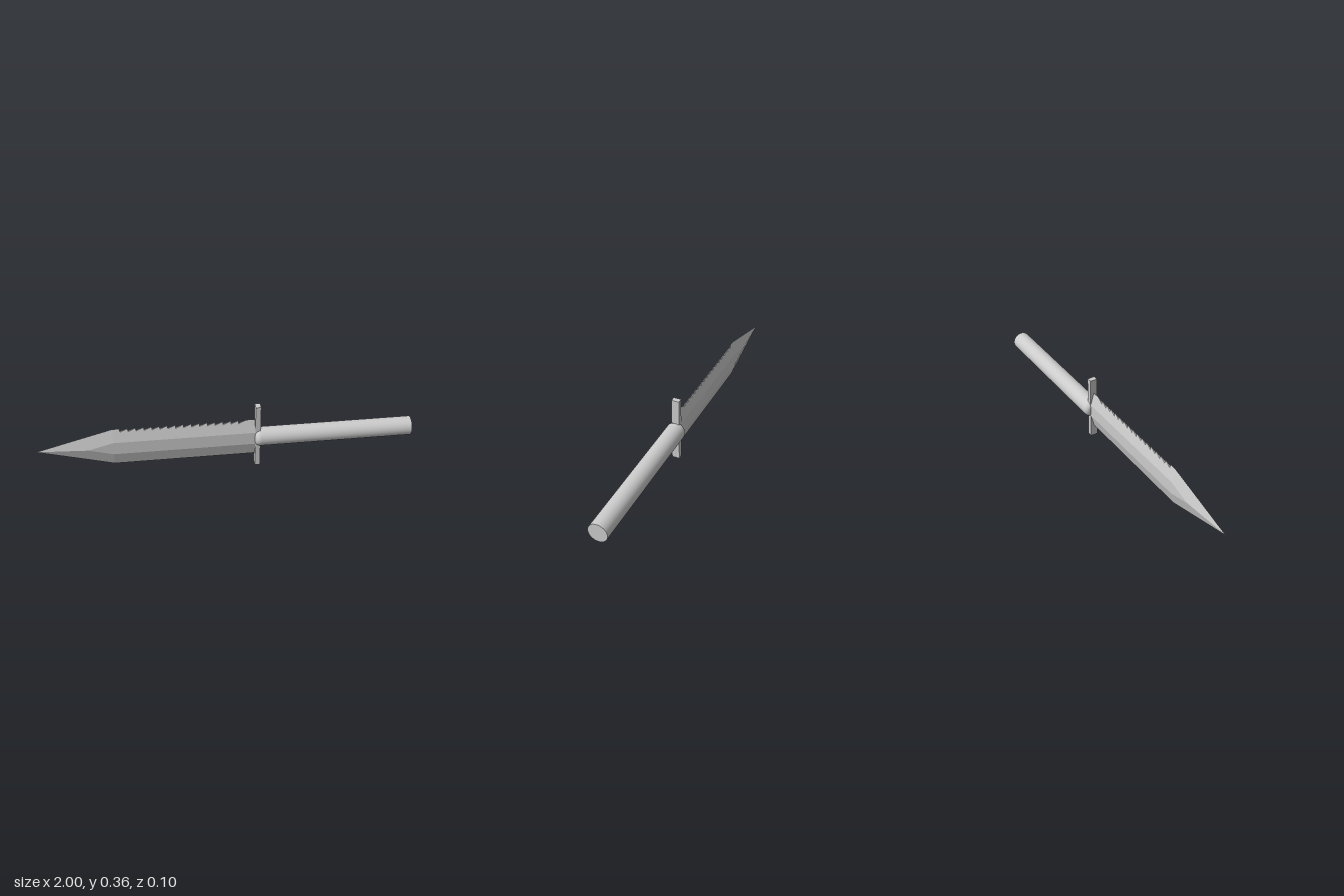
import * as THREE from 'three';

const MID = 0.172, TOP = 0.28, BOTTOM = 0.065, THICK = 0.02, FLAT = 0.035;

// Blade skin lofted through seven-point sections along x
function bladeGeometry() {
  const sections = [];
  // lo/top: cutting edges, flat: half height of the flat, t: half thickness
  const add = (x, lo, top, flat, t) => {
    const edge = t * Math.max(0, (TOP - top) / (TOP - MID - flat)); // bevel thickness at a notch
    const z = x < -0.6 ? 0 : edge;
    sections.push([
      [x, lo, 0], [x, MID - flat, t], [x, MID + flat, t], [x, top, z],
      [x, top, -z], [x, MID + flat, -t], [x, MID - flat, -t],
    ]);
  };

  // Point
  add(-1, MID, MID, 0, 0);
  add(-0.73, 0.1, 0.245, 0, THICK);
  add(-0.6, BOTTOM, TOP, FLAT, THICK);

  // Saw teeth: a vertical drop, then a slope up towards the guard
  const teeth = 16, start = -0.56, pitch = 0.0415;
  for (let i = 0; i < teeth; i++) {
    const x = start + i * pitch;
    add(x, BOTTOM, TOP, FLAT, THICK);
    add(x, BOTTOM, 0.262, FLAT, THICK);
  }
  add(start + teeth * pitch, BOTTOM, TOP, FLAT, THICK);
  add(0.16, BOTTOM, TOP, FLAT, THICK);

  const pos = [];
  for (let i = 0; i < sections.length - 1; i++) {
    const a = sections[i], b = sections[i + 1];
    for (let j = 0; j < 7; j++) {
      const k = (j + 1) % 7;
      pos.push(...a[j], ...b[j], ...b[k], ...a[j], ...b[k], ...a[k]);
    }
  }
  const geo = new THREE.BufferGeometry();
  geo.setAttribute('position', new THREE.Float32BufferAttribute(pos, 3));
  geo.computeVertexNormals();
  return geo;
}

export function createModel() {
  const group = new THREE.Group();
  const smooth = new THREE.MeshStandardMaterial({ color: 0xcccccc });
  const flat = new THREE.MeshStandardMaterial({ color: 0xcccccc, flatShading: true });
  const addMesh = (name, geo, mat, x, y) => {
    const mesh = new THREE.Mesh(geo, mat);
    mesh.name = name;
    mesh.position.set(x, y, 0);
    group.add(mesh);
    return mesh;
  };

  addMesh('blade', bladeGeometry(), flat, 0, 0);
  addMesh('guard', new THREE.BoxGeometry(0.028, 0.363, 0.041), flat, 0.164, 0.1815);

  // Round grip with a softened end at the guard
  const R = 0.051, profile = [new THREE.Vector2(0, 0.149)];
  for (let i = 0; i <= 6; i++) {
    const a = (i / 6) * Math.PI / 2;
    profile.push(new THREE.Vector2(0.025 + (R - 0.025) * Math.sin(a), 0.18 - 0.031 * Math.cos(a)));
  }
  profile.push(new THREE.Vector2(R, 1));
  const grip = addMesh('handle', new THREE.LatheGeometry(profile, 40), smooth, 0, 0.171);
  grip.rotation.z = -Math.PI / 2;

  const cap = addMesh('handleEnd', new THREE.CircleGeometry(R, 40), smooth, 1, 0.171);
  cap.rotation.y = Math.PI / 2;

  return group;
}
